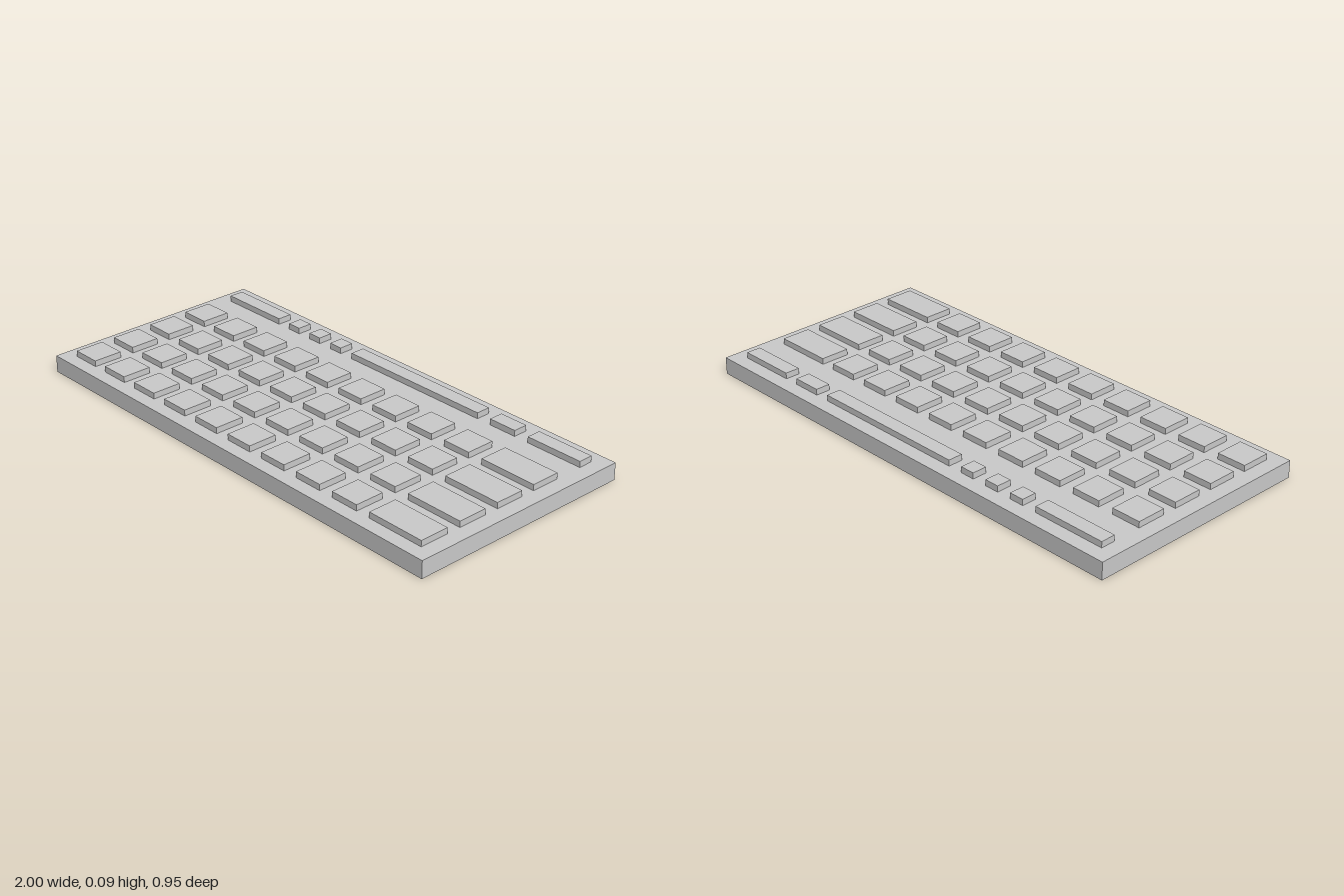
import * as THREE from 'three';

const BASE_TOP = 0.069, KEY_TOP = 0.093;
const PITCH_X = 0.182, PITCH_Z = 0.178, KEY = 0.12;

export function createModel() {
  const model = new THREE.Group();
  model.name = 'keyboard';
  const material = new THREE.MeshStandardMaterial({ color: 0xcccccc, flatShading: true });

  // Box spanning x0..x1 and y0..y1, centred on z
  function addBox(parent, name, x0, x1, y0, y1, z, depth) {
    const mesh = new THREE.Mesh(new THREE.BoxGeometry(x1 - x0, y1 - y0, depth), material);
    mesh.position.set((x0 + x1) / 2, (y0 + y1) / 2, z);
    mesh.name = name;
    parent.add(mesh);
  }

  // Flat case
  addBox(model, 'case', -1, 1, 0, BASE_TOP, 0, 0.946);

  // Four rows of nine square keys, each ending in a wide key
  for (let row = 0; row < 4; row++) {
    const keys = new THREE.Group();
    keys.name = `keyRow${row + 1}`;
    const z = 0.357 - row * PITCH_Z;
    for (let col = 0; col < 9; col++) {
      const x = -0.94 + col * PITCH_X;
      addBox(keys, 'squareKey', x, x + KEY, BASE_TOP, KEY_TOP, z, KEY);
    }
    addBox(keys, 'wideKey', 0.697, 0.939, BASE_TOP, KEY_TOP, z, KEY);
    model.add(keys);
  }

  // Narrow back row with the space bar
  const narrowRow = new THREE.Group();
  narrowRow.name = 'narrowKeyRow';
  const spans = [
    ['longKey', -0.94, -0.638],
    ['smallKey', -0.577, -0.517],
    ['smallKey', -0.456, -0.396],
    ['smallKey', -0.335, -0.275],
    ['spaceBar', -0.213, 0.453],
    ['shortKey', 0.515, 0.635],
    ['mediumKey', 0.697, 0.939],
  ];
  for (const [name, x0, x1] of spans) {
    addBox(narrowRow, name, x0, x1, BASE_TOP, KEY_TOP, -0.384, 0.06);
  }
  model.add(narrowRow);

  return model;
}
